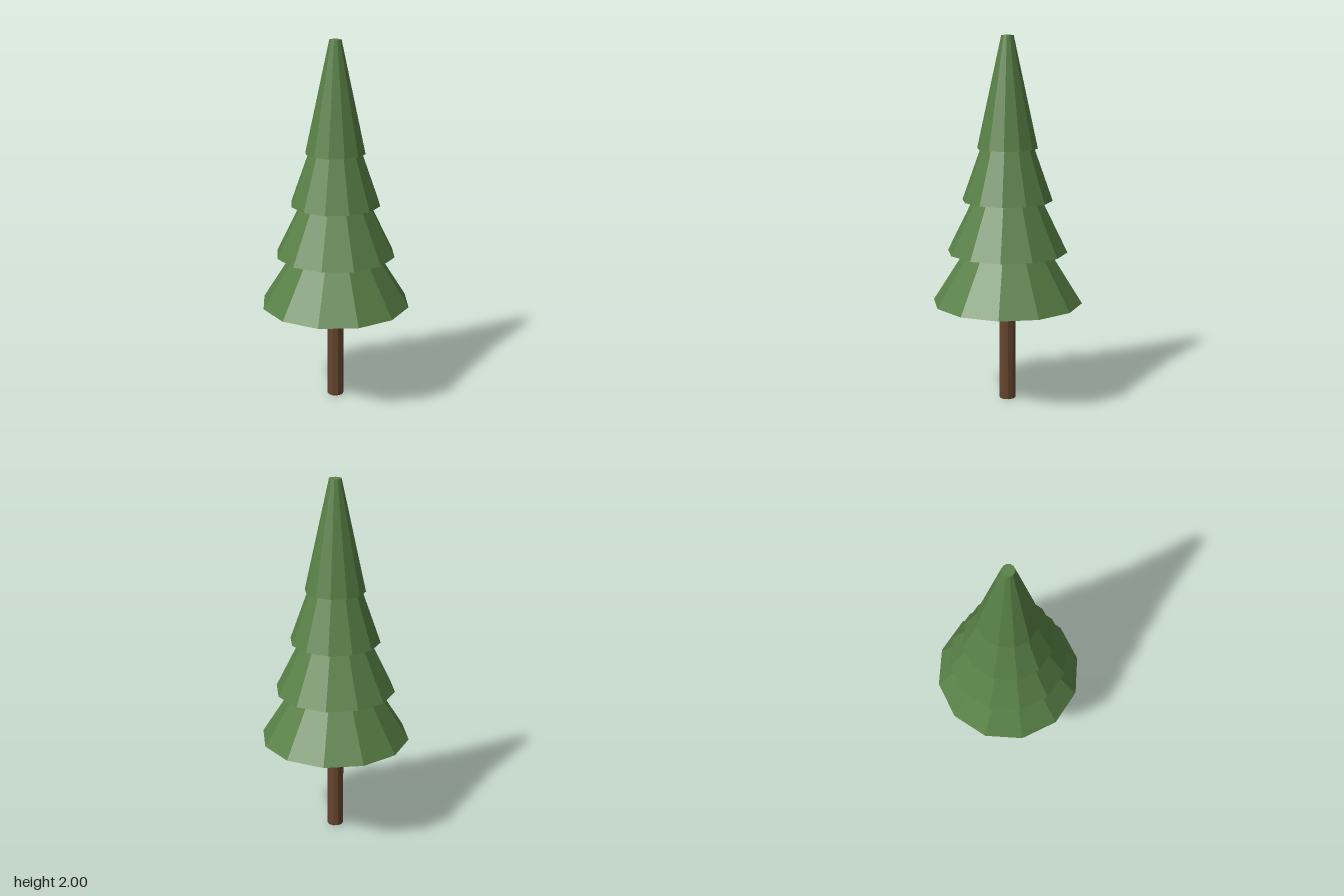
import * as THREE from 'three';

export function createModel() {
  const tree = new THREE.Group();
  tree.name = 'pineTree';

  const foliage = new THREE.MeshStandardMaterial({ color: 0x588046, flatShading: true });
  foliage.name = 'foliage green';
  const bark = new THREE.MeshStandardMaterial({ color: 0x65462e, flatShading: true });
  bark.name = 'bark brown';

  // Tapered prism standing on height y
  function addPart(name, topRadius, bottomRadius, y, height, sides, material) {
    const geometry = new THREE.CylinderGeometry(topRadius, bottomRadius, height, sides);
    const mesh = new THREE.Mesh(geometry, material);
    mesh.name = name;
    mesh.position.y = y + height / 2;
    tree.add(mesh);
  }

  // Trunk, ending just inside the lowest tier
  addPart('trunk', 0.045, 0.045, 0, 0.56, 10, bark);

  // Four overlapping tiers of branches, each narrower than the one below
  const tierHeight = 0.6;
  for (let i = 0; i < 4; i++) {
    const y = 0.553 + i * 0.2823;
    addPart(`branchTier${i + 1}`, 0.033, 0.41 - i * 0.082, y, tierHeight, 12, foliage);
  }

  return tree;
}
